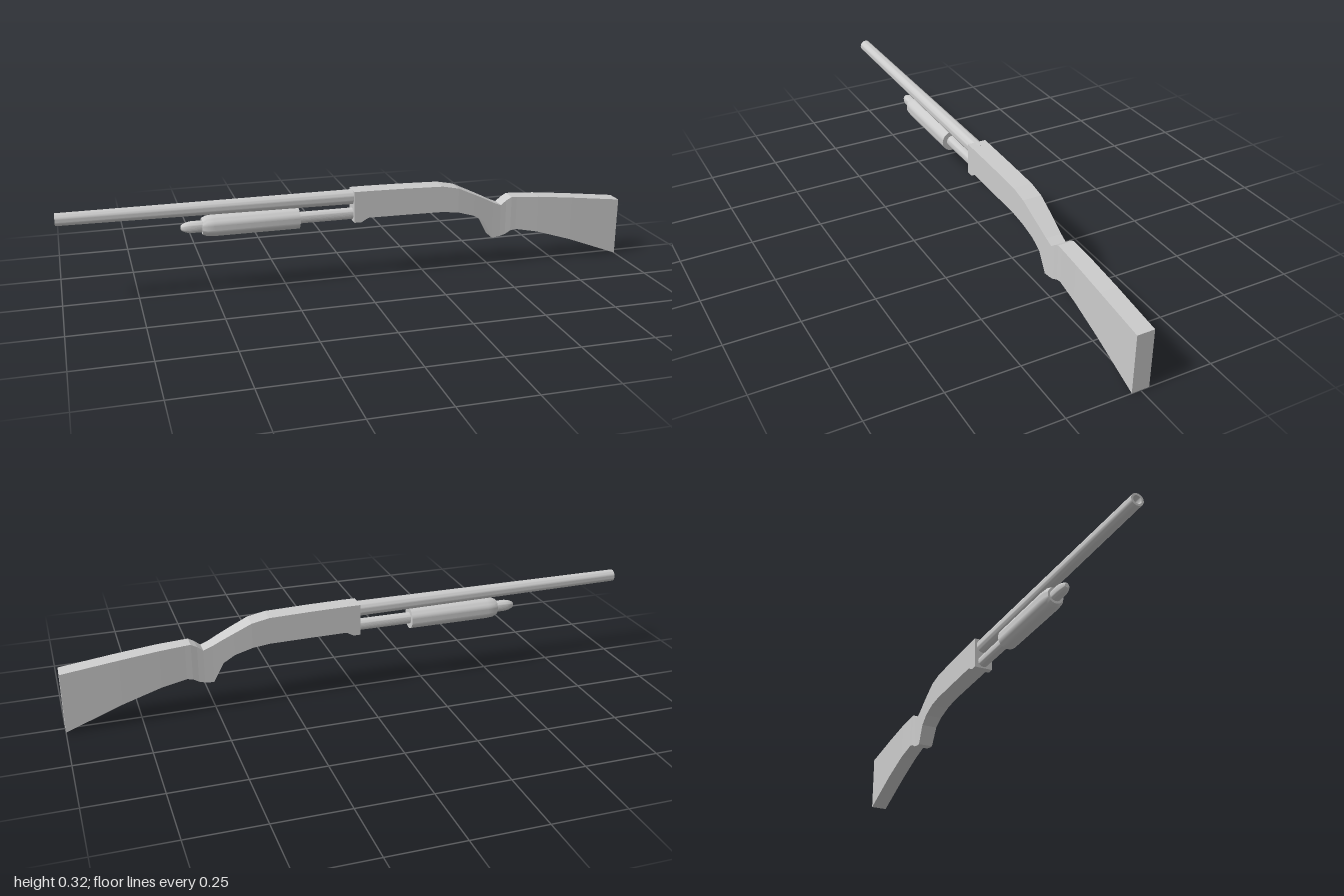
import * as THREE from 'three';
import { toCreasedNormals } from 'three/addons/utils/BufferGeometryUtils.js';

const material = new THREE.MeshStandardMaterial({ color: 0xcccccc });
const facetedMaterial = new THREE.MeshStandardMaterial({ color: 0xcccccc, flatShading: true });

// Part turned about the long axis; profile is [x, radius] running from back to muzzle.
function turned(name, profile, y, tilt = 0) {
  const points = profile.map(([x, r]) => new THREE.Vector2(r, -x));
  const geometry = toCreasedNormals(new THREE.LatheGeometry(points, 28), 0.6);
  const mesh = new THREE.Mesh(geometry, material);
  mesh.name = name;
  mesh.rotation.z = Math.PI / 2 + tilt;
  mesh.position.y = y;
  return mesh;
}

// Rectangular body lofted through stations [x, bottom, top, halfWidth].
function lofted(name, stations) {
  const n = stations.length - 1;
  const geometry = new THREE.BoxGeometry(1, 1, 1, n, 1, 1);
  const p = geometry.attributes.position;
  for (let i = 0; i < p.count; i++) {
    const [x, bottom, top, w] = stations[Math.round((p.getX(i) + 0.5) * n)];
    p.setXYZ(i, x, p.getY(i) > 0 ? top : bottom, p.getZ(i) > 0 ? w : -w);
  }
  geometry.computeVertexNormals();
  const mesh = new THREE.Mesh(geometry, facetedMaterial);
  mesh.name = name;
  return mesh;
}

export function createModel() {
  const group = new THREE.Group();

  // Slightly tapered barrel with an open bore
  group.add(turned('barrel', [
    [0.02, 0], [0.02, 0.026], [-1, 0.021], [-1, 0.014], [-0.9, 0.014], [-0.9, 0],
  ], 0.295, -0.005));

  // Tube under the barrel with its rounded end cap
  group.add(turned('magazineTube', [
    [0.02, 0], [0.02, 0.02], [-0.54, 0.02], [-0.568, 0.02],
    [-0.583, 0.017], [-0.595, 0.012], [-0.6, 0.007], [-0.6, 0],
  ], 0.235));

  // Sliding grip around the tube
  group.add(turned('slidingGrip', [
    [-0.2, 0.018], [-0.2, 0.037], [-0.49, 0.037],
    [-0.515, 0.035], [-0.53, 0.028], [-0.53, 0.018],
  ], 0.235));

  // Receiver, wrist and shoulder stock in one sweep
  group.add(lofted('receiverAndStock', [
    [-0.01, 0.21, 0.32, 0.033],
    [0.015, 0.21, 0.32, 0.033],
    [0.04, 0.224, 0.32, 0.033],
    [0.17, 0.223, 0.318, 0.033],
    [0.31, 0.221, 0.314, 0.033],
    [0.37, 0.214, 0.302, 0.033],
    [0.43, 0.196, 0.274, 0.031],
    [0.47, 0.171, 0.255, 0.029],
    [0.505, 0.105, 0.237, 0.027],
    [0.535, 0.108, 0.225, 0.026],
    [0.555, 0.114, 0.241, 0.026],
    [0.575, 0.126, 0.252, 0.027],
    [0.595, 0.13, 0.251, 0.027],
    [0.68, 0.113, 0.245, 0.029],
    [0.81, 0.072, 0.231, 0.03],
    [1, 0, 0.208, 0.03],
  ]));

  return group;
}
